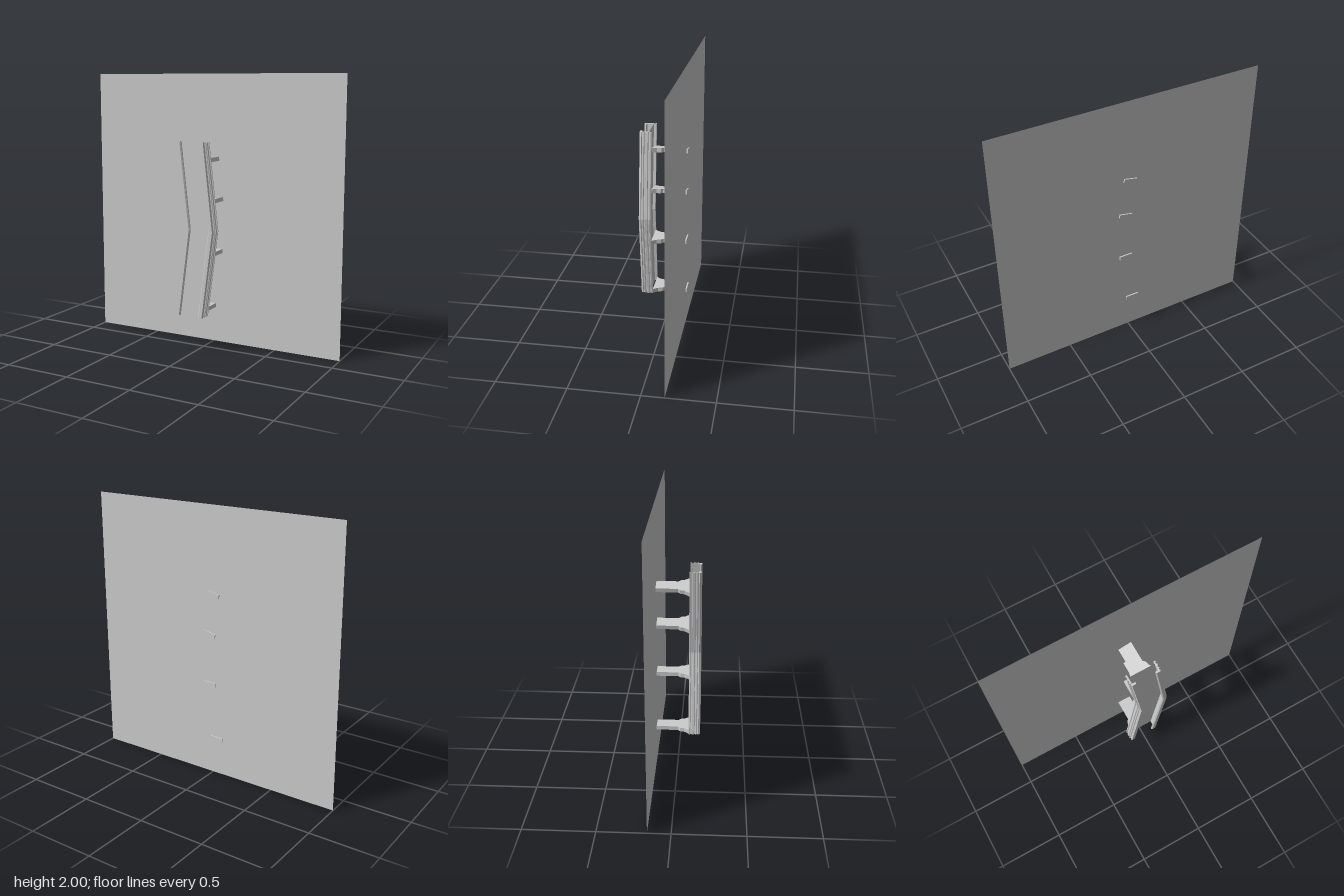
import * as THREE from 'three';

const material = new THREE.MeshStandardMaterial({ color: 0xcccccc, flatShading: true, side: THREE.DoubleSide });

const BOTTOM = 0.265, MID = 0.895, TOP = 1.525;

// centre line of the bent track: x for a given height
function bend(y) {
  return y < MID
    ? THREE.MathUtils.mapLinear(y, BOTTOM, MID, -0.035, 0.048)
    : THREE.MathUtils.mapLinear(y, MID, TOP, 0.048, -0.025);
}

function addMesh(parent, name, geometry) {
  const mesh = new THREE.Mesh(geometry, material);
  mesh.name = name;
  parent.add(mesh);
  return mesh;
}

// extrude an outline given as [x, z] pairs upward along y
function extrudeUp(points, height, steps = 1) {
  const shape = new THREE.Shape(points.map(([x, z]) => new THREE.Vector2(x, -z)));
  return new THREE.ExtrudeGeometry(shape, { depth: height, steps, bevelEnabled: false }).rotateX(-Math.PI / 2);
}

// shift every vertex sideways to follow the bend
function followBend(geometry) {
  const p = geometry.attributes.position;
  for (let i = 0; i < p.count; i++) p.setX(i, p.getX(i) + bend(p.getY(i)));
  geometry.computeVertexNormals();
  return geometry;
}

export function createModel() {
  const group = new THREE.Group();

  // thin square wall
  addMesh(group, 'wall', new THREE.PlaneGeometry(2, 2)).position.set(0, 1, -0.16);

  // ribbed rails: [distance in from the outer edge, z]
  const railProfile = [
    [0.015, 0.08], [0.002, 0.08], [0, 0.09], [0.007, 0.093], [0.007, 0.102], [0, 0.105],
    [0, 0.12], [0.007, 0.123], [0.007, 0.13], [0, 0.133], [0, 0.14], [0.008, 0.143],
    [0.008, 0.148], [0.003, 0.152], [0.009, 0.165], [0.034, 0.165], [0.042, 0.157],
    [0.042, 0.152], [0.015, 0.147],
  ];
  for (const side of [-1, 1]) {
    const outline = railProfile.map(([u, z]) => [side * (0.115 - u), z]);
    const rail = extrudeUp(outline, TOP - BOTTOM, 2).translate(0, BOTTOM, 0);
    addMesh(group, side > 0 ? 'leftRail' : 'rightRail', followBend(rail));
  }

  // thin panel between the rails
  const panel = new THREE.PlaneGeometry(0.2, TOP - BOTTOM, 1, 2).translate(0, MID, 0.1);
  addMesh(group, 'panel', followBend(panel));

  // flared brackets carrying the track; the upper ones are tilted
  const half = [[0.051, -0.17], [0.051, 0], [0.068, 0.015], [0.074, 0.045], [0.102, 0.082]];
  const outline = [...half, ...half.map(([x, z]) => [-x, z]).reverse()];
  const tilt = THREE.MathUtils.degToRad(12);
  for (const [y, angle] of [[0.278, 0], [0.7, 0], [1.08, tilt], [1.375, tilt]]) {
    const bracket = addMesh(group, 'bracket', extrudeUp(outline, 0.03).translate(0, -0.015, 0));
    bracket.position.set(bend(y), y, 0);
    bracket.rotation.z = angle;
  }
  return group;
}
